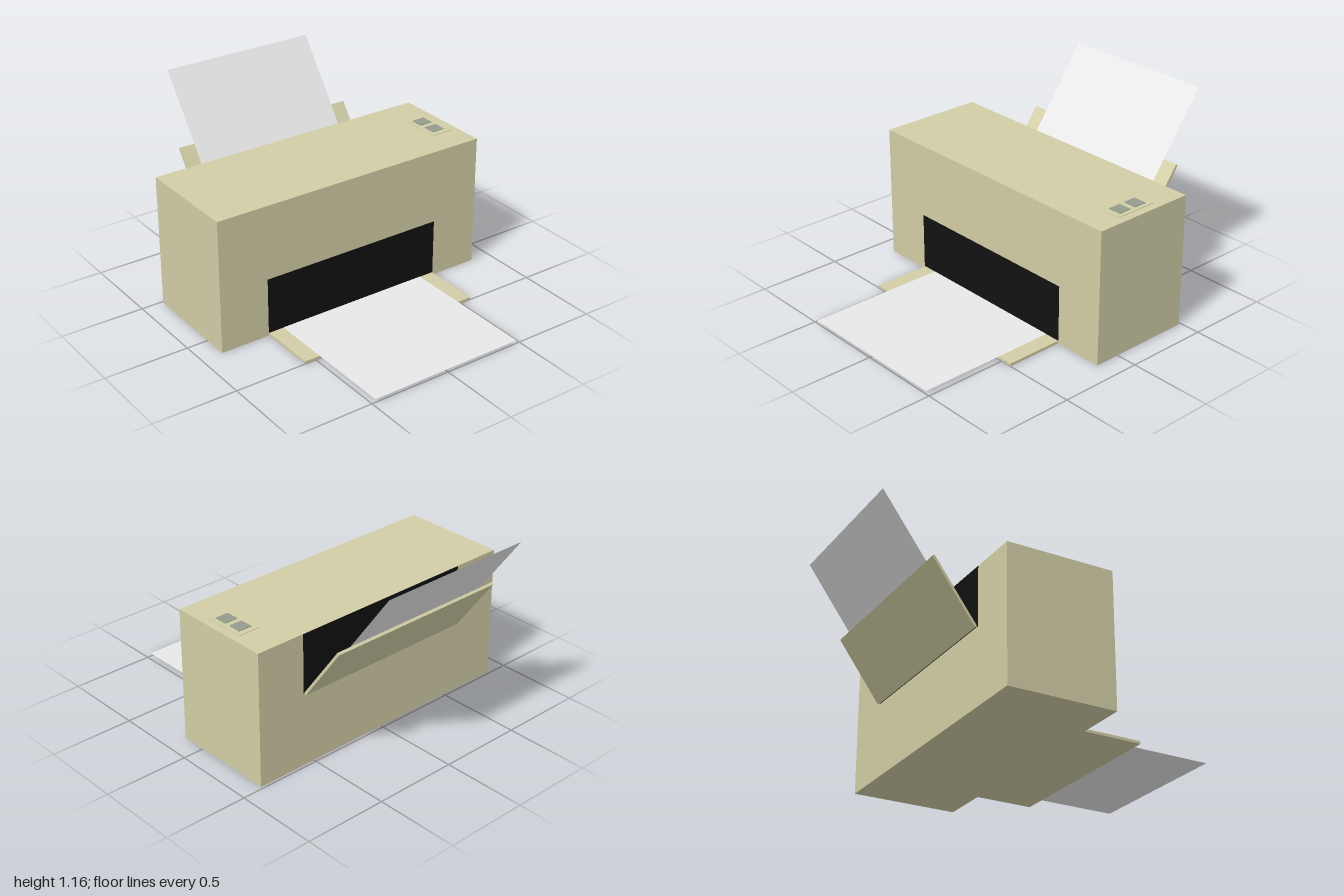
import * as THREE from 'three';

export function createModel() {
  const model = new THREE.Group();
  model.name = 'printer';

  const material = (name, color, side = THREE.FrontSide) => {
    const m = new THREE.MeshStandardMaterial({ color, side });
    m.name = name;
    return m;
  };
  const casing = material('beige casing', 0xd1cda5);
  const dark = material('black slot', 0x111111);
  const white = material('white paper', 0xffffff, THREE.DoubleSide);
  const grey = material('grey button', 0x949c8d);

  const add = (name, geometry, mat, x, y, z, parent = model) => {
    const mesh = new THREE.Mesh(geometry, mat);
    mesh.name = name;
    mesh.position.set(x, y, z);
    parent.add(mesh);
    return mesh;
  };
  const box = (name, w, h, d, mat, x, y, z, parent) =>
    add(name, new THREE.BoxGeometry(w, h, d), mat, x, y, z, parent);

  // Casing
  const front = 0.152, back = -0.484, height = 0.798;
  box('body', 1.744, height, front - back, casing, 0, height / 2, (front + back) / 2);

  // Dark openings: output at the front, feed at the back
  box('outputSlot', 1.144, 0.336, 0.003, dark, 0, 0.186, front);
  box('feedSlot', 1.144, 0.35, 0.003, dark, 0, 0.622, back);

  // Output tray and printed sheet
  box('outputTray', 1.14, 0.016, 0.5 - front, casing, 0, 0.008, (0.5 + front) / 2);
  const sheet = add('outputPaper', new THREE.PlaneGeometry(0.956, 1 - front), white,
    0, 0.019, (1 + front) / 2);
  sheet.rotation.x = -Math.PI / 2;

  // Feed tray and blank sheet, both leaning back from the feed slot
  const feed = new THREE.Group();
  feed.name = 'feedTrayGroup';
  feed.position.set(0, 0.45, -0.485);
  feed.rotation.x = -Math.atan2(0.515, 0.71);
  model.add(feed);
  box('feedTray', 1.14, 0.428, 0.016, casing, 0, 0.214, -0.01, feed);
  const length = Math.hypot(0.515, 0.71);
  add('feedPaper', new THREE.PlaneGeometry(0.956, length), white, 0, length / 2, 0, feed);

  // Control panel with two buttons
  box('controlPanel', 0.132, 0.004, 0.26, casing, 0.758, height + 0.001, -0.152);
  for (const z of [-0.21, -0.097]) {
    box('button', 0.08, 0.005, 0.078, grey, 0.758, height + 0.004, z);
  }

  return model;
}
